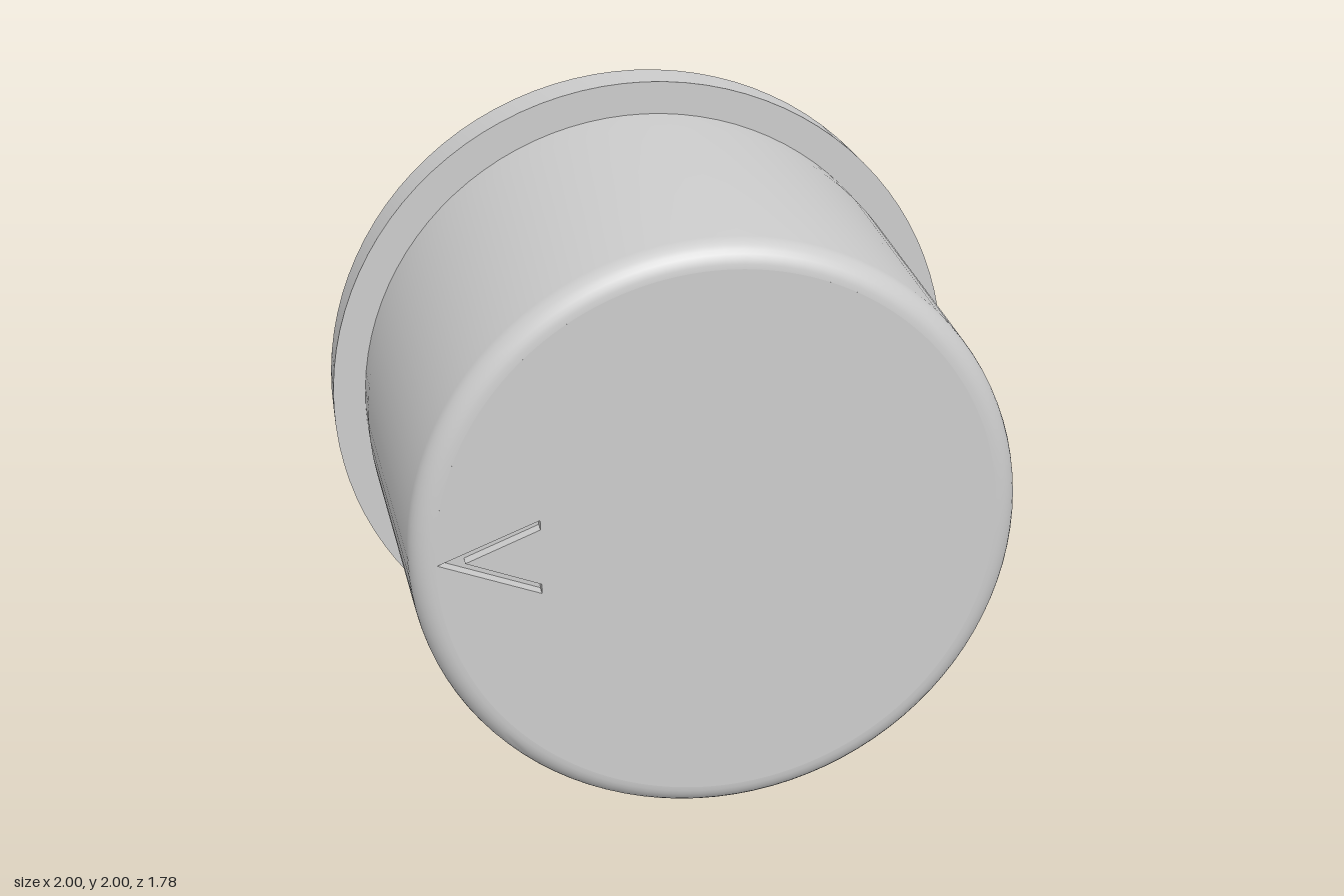
import * as THREE from 'three';
import { toCreasedNormals } from 'three/addons/utils/BufferGeometryUtils.js';

const SEGMENTS = 96;
const material = new THREE.MeshStandardMaterial({ color: 0xcccccc });

function part(name, geometry) {
  const mesh = new THREE.Mesh(geometry, material);
  mesh.name = name;
  return mesh;
}

// Turned part around the z axis; profile is [radius, z], running back to front on the outside
function turned(name, profile) {
  const points = profile.map(([r, z]) => new THREE.Vector2(r, z));
  const geometry = new THREE.LatheGeometry(points, SEGMENTS).rotateX(Math.PI / 2);
  return part(name, toCreasedNormals(geometry, 0.5));
}

// Quarter-round corner points, angles in degrees
function corner(r, z, radius, from, to, steps = 8) {
  return Array.from({ length: steps + 1 }, (_, i) => {
    const a = THREE.MathUtils.degToRad(from + ((to - from) * i) / steps);
    return [r + radius * Math.cos(a), z + radius * Math.sin(a)];
  });
}

export function createModel() {
  const knob = new THREE.Group();
  knob.name = 'knob';
  knob.position.y = 1;

  // Rear boss with rounded rim and blind shaft hole
  knob.add(turned('shaftBoss', [
    [0, -0.49], [0.3, -0.49], [0.3, -0.89],
    ...corner(0.56, -0.81, 0.08, -90, 0),
    [0.64, -0.43],
  ]));

  // Flange disc
  knob.add(turned('flange', [[0.6, -0.43], [1, -0.43], [1, -0.27], [0.85, -0.27]]));

  // Tapered grip with rounded front edge
  knob.add(turned('grip', [
    [0.9, -0.27], [0.9, -0.12],
    ...corner(0.785, 0.82, 0.07, 2, 90),
  ]));

  // Front face with an engraved V pointer
  const pointer = [[-0.78, 0], [-0.5, -0.11], [-0.5, -0.082], [-0.705, 0], [-0.5, 0.082], [-0.5, 0.11]]
    .map(([x, y]) => new THREE.Vector2(x, y));
  const depth = 0.035;
  const face = new THREE.Shape().absarc(0, 0, 0.785, 0, Math.PI * 2);
  face.holes.push(new THREE.Path(pointer));
  const faceGeometry = new THREE.ExtrudeGeometry(face, { depth, bevelEnabled: false, curveSegments: SEGMENTS });
  knob.add(part('frontFace', faceGeometry.translate(0, 0, 0.89 - depth)));

  const floor = new THREE.ShapeGeometry(new THREE.Shape(pointer));
  knob.add(part('pointerGrooveFloor', floor.translate(0, 0, 0.89 - depth)));

  const model = new THREE.Group();
  model.name = 'controlKnob';
  model.add(knob);
  return model;
}
